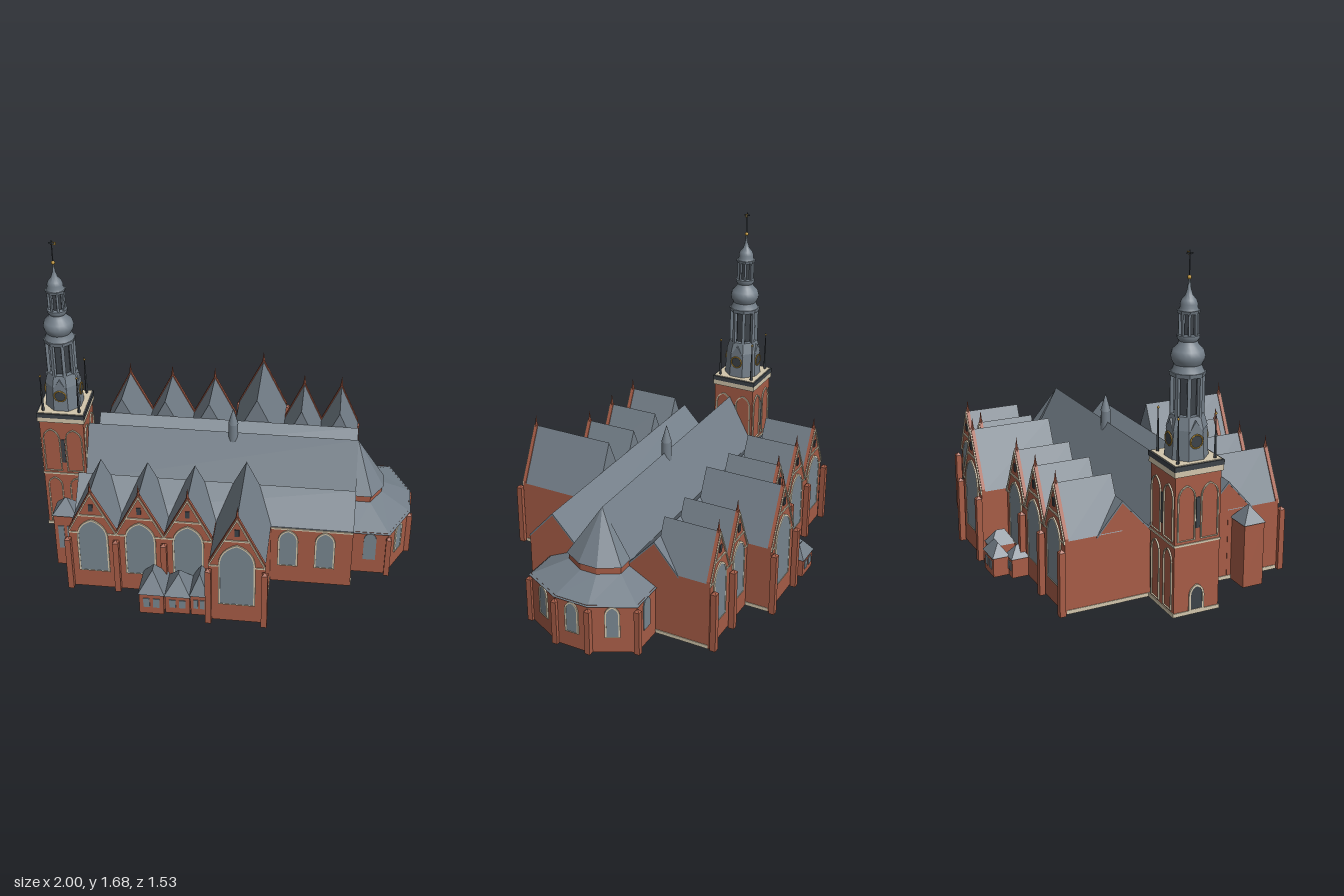
import * as THREE from 'three';
import { toCreasedNormals } from 'three/addons/utils/BufferGeometryUtils.js';

const mat = (name, color) => Object.assign(new THREE.MeshStandardMaterial({ color }), { name });

export function createModel() {
  const brick = mat('brick', 0xa65c46), slate = mat('slate', 0x747f89), dark = mat('dark metal', 0x3c4248),
    cream = mat('cream stone', 0xd2c6ac), glass = mat('window glass', 0x78868f), gold = mat('gold', 0xbf9438);
  slate.side = brick.side = THREE.DoubleSide;
  const model = new THREE.Group();
  model.name = 'church';
  const ZC = -0.027; // ridge line of the nave

  // ---- helpers ----
  const add = (name, geo, m, parent = model, x = 0, y = 0, z = 0) => {
    const mesh = new THREE.Mesh(geo, m);
    mesh.name = name;
    mesh.position.set(x, y, z);
    parent.add(mesh);
    return mesh;
  };
  const flat = (geo) => {
    const g = geo.index ? geo.toNonIndexed() : geo;
    g.computeVertexNormals();
    return g;
  };
  const block = (name, x0, x1, y0, y1, z0, z1, m, parent = model) =>
    add(name, new THREE.BoxGeometry(x1 - x0, y1 - y0, z1 - z0), m, parent, (x0 + x1) / 2, (y0 + y1) / 2, (z0 + z1) / 2);
  const poly = (pts) => new THREE.Shape(pts.map((p) => new THREE.Vector2(p[0], p[1])));
  const extrude = (shape, depth) => new THREE.ExtrudeGeometry(shape, { depth, bevelEnabled: false, curveSegments: 6 });
  // faces between two rings of [x, z] points, running clockwise seen from above
  const loft = (a, ya, b, yb) => {
    const v = [];
    for (let i = 0; i < a.length - 1; i++) {
      const p = [a[i][0], ya, a[i][1]], q = [a[i + 1][0], ya, a[i + 1][1]];
      const r = [b[i][0], yb, b[i][1]], s = [b[i + 1][0], yb, b[i + 1][1]];
      v.push(...p, ...r, ...q, ...q, ...r, ...s);
    }
    const g = new THREE.BufferGeometry();
    g.setAttribute('position', new THREE.Float32BufferAttribute(v, 3));
    return flat(g);
  };
  const rect = (x0, x1, z0, z1) => [[x0, z0], [x1, z0], [x1, z1], [x0, z1], [x0, z0]];
  const hipRoof = (name, x0, x1, z0, z1, y0, y1, m = slate) => {
    const i = Math.min(x1 - x0, z1 - z0) / 2;
    add(name, loft(rect(x0, x1, z0, z1), y0, rect(x0 + i, x1 - i, z0 + i, z1 - i), y1), m);
  };
  const arch = (Type, w, y0, h) => {
    const s = new Type(), a = w / 2, spring = y0 + h - w * 0.7;
    s.moveTo(-a, y0);
    s.lineTo(a, y0);
    s.lineTo(a, spring);
    s.quadraticCurveTo(a * 0.95, y0 + h - w * 0.18, 0, y0 + h);
    s.quadraticCurveTo(-a * 0.95, y0 + h - w * 0.18, -a, spring);
    s.closePath();
    return s;
  };
  // t is the frame width; no frame when it is 0
  const archWindow = (parent, x, y, z, w, h, rotY = 0, t = 0.009, pane = glass) => {
    const g = new THREE.Group();
    g.name = 'archWindow';
    if (t) {
      const frame = arch(THREE.Shape, w, 0, h);
      frame.holes.push(arch(THREE.Path, w - 2 * t, t * 0.5, h - 1.6 * t));
      add('frame', extrude(frame, 0.007), cream, g);
    }
    if (pane) add('pane', extrude(arch(THREE.Shape, w - t, 0.002, h - t), 0.005), pane, g);
    g.position.set(x, y, z);
    g.rotation.y = rotY;
    parent.add(g);
  };
  const buttress = (x, z, h, s = 0.03) => {
    block('buttress', x - s / 2, x + s / 2, 0, h, z - s / 2, z + s / 2, brick);
    hipRoof('buttressCap', x - s / 2, x + s / 2, z - s / 2, z + s / 2, h, h + 0.015, brick);
  };

  // ---- nave: a hollow hall under three parallel ridges ----
  const profile = [[0.4, 0.36], [0.262, 0.515], [0.122, 0.365], [ZC, 0.63], [-0.172, 0.365], [-0.308, 0.515], [-0.44, 0.36]];
  const lower = (d) => profile.map(([z, y]) => [z, y - d]);
  const alongX = (pts, x0, x1) => extrude(poly(pts.map(([z, y]) => [-z, y])), x1 - x0).rotateY(Math.PI / 2).translate(x0, 0, 0);
  const inside = lower(0.022).map(([z, y]) => [Math.max(-0.43, Math.min(0.39, z)), y]).reverse();
  add('naveShell', alongX([[0.4, 0], ...lower(0.006), [-0.44, 0], [-0.43, 0], ...inside, [0.39, 0]], -0.744, 0.689), brick);
  for (const x of [-0.745, 0.68]) add('naveEndWall', alongX([[0.4, 0], ...lower(0.006), [-0.44, 0]], x, x + 0.01), brick);
  add('naveRoof', alongX([...profile, ...lower(0.012).reverse()], -0.747, 0.691), slate);
  for (const x of [-0.749, 0.684]) block('navePlinth', x, x + 0.01, 0.001, 0.02, -0.435, 0.395, cream);
  block('eavesBand', 0.27, 0.69, 0.345, 0.355, 0.39, 0.404, cream);
  for (const x of [0.36, 0.55]) archWindow(model, x, 0.11, 0.4, 0.105, 0.235);

  // ---- cross gables ----
  const crossGable = (x, w, zWall, zIn, ridge, winW, winTop) => {
    const g = new THREE.Group(), a = w / 2, eave = 0.365, d = Math.abs(zWall - zIn);
    g.name = 'crossGable';
    g.position.set(x, 0, zWall);
    if (zWall < 0) g.rotation.y = Math.PI;
    model.add(g);
    for (const s of [-1, 1]) {
      const x0 = s * (a - 0.004) - 0.004;
      block('gableSideWall', x0, x0 + 0.008, 0.001, eave, -d, -0.006, brick, g);
      block('gablePlinth', x0 - 0.003, x0 + 0.011, 0.0005, 0.02, -d, -0.006, cream, g);
    }
    block('gableCeiling', -a, a, eave - 0.01, eave, -d, -0.006, brick, g);
    add('gableRoof', extrude(poly([[-a, eave], [a, eave], [0, ridge]]), d - 0.015), slate, g, 0, 0, -d);
    const up = 0.012, front = poly([[-a, 0], [a, 0], [a, eave + up], [0, ridge + up], [-a, eave + up]]);
    add('gableFront', extrude(front, 0.018), brick, g, 0, 0, -0.018);
    const t = 0.016;
    add('gableTrim', extrude(poly([[-a, eave - t], [0, ridge - t], [a, eave - t], [a, eave], [0, ridge], [-a, eave]]), 0.006), cream, g);
    block('eaveBand', -a, a, 0.35, 0.359, 0, 0.003, cream, g);
    const by = winTop + 0.018, bw = a * (ridge - by) / (ridge - eave) - 0.005;
    block('gableBand', -bw, bw, by, by + 0.009, 0, 0.005, cream, g);
    block('gableOpening', -0.011, 0.011, by + 0.035, by + 0.075, 0, 0.005, dark, g);
    archWindow(g, 0, 0.11, 0, winW, winTop - 0.11);
    add('finial', flat(new THREE.ConeGeometry(0.009, 0.07, 4)), brick, g, 0, ridge + 0.03, -0.009);
  };
  const frontIn = 0.262, backIn = -0.308;
  for (const x of [-0.624, -0.38, -0.135]) {
    crossGable(x, 0.245, 0.55, frontIn, 0.61, 0.16, 0.445);
    crossGable(x, 0.245, -0.6, backIn, 0.61, 0.16, 0.445);
  }
  crossGable(0.13, 0.28, 0.725, frontIn, 0.655, 0.185, 0.495);
  crossGable(0.13, 0.28, -0.735, backIn, 0.655, 0.185, 0.495);
  for (const x of [0.375, 0.585]) crossGable(x, 0.21, -0.605, backIn, 0.6, 0.135, 0.435);
  for (const x of [-0.75, -0.503, -0.258]) {
    buttress(x, 0.565, 0.32);
    buttress(x, -0.62, 0.32);
  }
  for (const x of [-0.01, 0.27]) {
    buttress(x, 0.745, 0.335);
    buttress(x, -0.755, 0.335);
  }
  for (const x of [0.475, 0.685]) buttress(x, -0.628, 0.32);

  // ---- choir and ambulatory at the east end ----
  const inner = [[0.69, -0.172], [0.77, -0.172], [0.83, -0.07], [0.83, 0.018], [0.77, 0.12], [0.69, 0.12]];
  const outer = [[0.69, -0.315], [0.872, -0.315], [0.98, -0.105], [0.98, 0.067], [0.872, 0.28], [0.69, 0.28]];
  const grow = (ring, k) => ring.map(([x, z]) => [x > 0.7 ? x + k : x, z + Math.sign(z - ZC) * k]);
  add('choirWalls', loft(inner, 0.33, inner, 0.385), brick);
  add('choirRoof', loft(grow(inner, 0.007), 0.38, inner.map(() => [0.69, ZC]), 0.63), slate);
  add('ambulatoryWalls', loft(outer, 0, outer, 0.268), brick);
  add('ambulatoryRoof', loft(grow(outer, 0.008), 0.262, inner, 0.342), slate);
  for (let i = 0; i < 5; i++) {
    const [a, b] = [outer[i], outer[i + 1]], rot = Math.atan2(b[1] - a[1], a[0] - b[0]), end = i % 4 === 0;
    archWindow(model, (a[0] + b[0]) / 2, 0.088, (a[1] + b[1]) / 2, end ? 0.065 : 0.075, 0.175, rot, end ? 0 : 0.009);
    if (i) buttress(a[0] + 0.005, a[1] + 0.006 * Math.sign(a[1] - ZC), 0.238, 0.028);
  }

  // ---- ridge turret ----
  add('turret', new THREE.CylinderGeometry(0.025, 0.027, 0.11, 12), slate, model, 0.03, 0.635, ZC);
  add('turretCap', new THREE.ConeGeometry(0.027, 0.095, 12), slate, model, 0.03, 0.735, ZC);

  // ---- low annexes: x0, x1, z0, z1, wall height, roof top ----
  const annexes = [
    [-0.365, -0.24, 0.55, 0.72, 0.125, 0.235], [-0.235, -0.11, 0.55, 0.705, 0.11, 0.21], [-0.105, -0.02, 0.55, 0.705, 0.125, 0.235],
    [-0.865, -0.745, 0.285, 0.395, 0.325, 0.405],
    [-0.235, -0.105, -0.765, -0.685, 0.1, 0.165], [-0.285, -0.21, -0.685, -0.6, 0.1, 0.16], [-0.1, -0.02, -0.725, -0.6, 0.1, 0.17],
  ];
  for (const [x0, x1, z0, z1, h, top] of annexes) {
    add('annexWalls', loft(rect(x0, x1, z0, z1), 0, rect(x0, x1, z0, z1), h), brick);
    hipRoof('annexRoof', x0 - 0.006, x1 + 0.006, z0 - 0.006, z1 + 0.006, h, top);
    const zf = z0 > 0 ? z1 : z0, w = (x1 - x0) * 0.13;
    for (const f of [0.3, 0.7]) {
      const x = x0 + (x1 - x0) * f;
      block('annexWindow', x - w, x + w, h * 0.35, h * 0.8, zf - 0.004, zf + 0.004, glass);
    }
  }

  // ---- tower ----
  const tower = new THREE.Group();
  tower.name = 'tower';
  tower.position.set(-0.872, 0, -0.048);
  model.add(tower);
  const T = 0.118;
  const square = (name, r, y0, y1, m) => block(name, -r, r, y0, y1, -r, r, m, tower);
  square('towerWalls', T, 0, 0.7, brick);
  square('towerPlinth', T + 0.004, 0.001, 0.02, cream);
  square('towerBand', T + 0.004, 0.35, 0.36, cream);
  square('cornice', T + 0.008, 0.69, 0.718, cream);
  square('parapet', 0.128, 0.718, 0.742, dark);
  square('parapetFloor', 0.12, 0.742, 0.745, cream);
  // octagonal stage, sized by the distance from its centre to a flat side
  const octagon = (name, top, bottom, y0, y1, m = slate) => {
    const k = 1 / Math.cos(Math.PI / 8);
    add(name, flat(new THREE.CylinderGeometry(top * k, bottom * k, y1 - y0, 8).rotateY(Math.PI / 8)), m, tower, 0, (y0 + y1) / 2, 0);
  };
  octagon('clockStage', 0.086, 0.094, 0.745, 0.885);
  octagon('shoulder', 0.072, 0.088, 0.885, 0.945);
  for (let i = 0; i < 4; i++) {
    const side = new THREE.Group();
    side.name = 'towerSide';
    side.rotation.y = (i * Math.PI) / 2;
    tower.add(side);
    for (const x of [-0.06, 0.06]) {
      archWindow(side, x, 0.375, T, 0.092, 0.27, 0, 0.006, null);
      if (i !== 3) archWindow(side, x, 0.03, T, 0.08, 0.3, 0, 0.006, null);
    }
    block('slit', -0.01, 0.01, 0.43, 0.58, T, T + 0.004, dark, side);
    if (i === 3) archWindow(side, 0, 0.02, T, 0.08, 0.13, 0, 0.01, dark);
    // clock with a small pediment, and a corner pinnacle
    add('pediment', extrude(poly([[-0.038, 0.87], [0.038, 0.87], [0, 0.93]]), 0.03), slate, side, 0, 0, 0.058);
    add('clockFace', new THREE.CylinderGeometry(0.031, 0.031, 0.008, 12).rotateX(Math.PI / 2), dark, side, 0, 0.835, 0.09);
    add('clockRing', new THREE.TorusGeometry(0.031, 0.004, 4, 16), gold, side, 0, 0.835, 0.093);
    add('pinnacle', flat(new THREE.CylinderGeometry(0.002, 0.008, 0.22, 4)), dark, side, 0.096, 0.855, 0.096);
    add('pinnacleBall', new THREE.SphereGeometry(0.006, 8, 6), gold, side, 0.096, 0.955, 0.096);
  }

  // lanterns and domes
  const dome = (name, pts) =>
    add(name, toCreasedNormals(new THREE.LatheGeometry(pts.map((p) => new THREE.Vector2(...p)), 20), 0.7), slate, tower);
  const lantern = (r, y0, y1, post) => {
    octagon('lanternCore', r * 0.67, r * 0.67, y0, y1, dark);
    for (let i = 0; i < 8; i++) {
      const a = ((i + 0.5) * Math.PI) / 4;
      const p = add('lanternPost', new THREE.BoxGeometry(post, y1 - y0, post), slate, tower, Math.sin(a) * r, (y0 + y1) / 2, Math.cos(a) * r);
      p.rotation.y = a;
    }
  };
  lantern(0.07, 0.94, 1.135, 0.017);
  octagon('lanternCornice', 0.079, 0.075, 1.122, 1.142);
  dome('lowerDome', [[0.078, 1.14], [0.068, 1.16], [0.064, 1.175], [0.075, 1.195], [0.079, 1.215],
    [0.072, 1.24], [0.05, 1.262], [0.042, 1.28], [0.052, 1.295], [0.052, 1.308], [0, 1.312]]);
  lantern(0.04, 1.305, 1.415, 0.011);
  octagon('upperCornice', 0.05, 0.046, 1.405, 1.42);
  dome('upperDome', [[0.047, 1.418], [0.04, 1.432], [0.041, 1.448], [0.034, 1.466], [0.018, 1.485], [0.01, 1.51], [0.004, 1.56], [0, 1.56]]);
  add('spireBall', new THREE.SphereGeometry(0.01, 10, 8), gold, tower, 0, 1.565, 0);
  add('spireRod', new THREE.CylinderGeometry(0.003, 0.003, 0.12, 6), dark, tower, 0, 1.625, 0);
  block('crossBar', -0.016, 0.016, 1.668, 1.674, -0.003, 0.003, dark, tower);
  block('crossBarSide', -0.003, 0.003, 1.668, 1.674, -0.016, 0.016, dark, tower);
  block('vane', 0.004, 0.022, 1.663, 1.677, -0.002, 0.002, gold, tower);

  return model;
}
